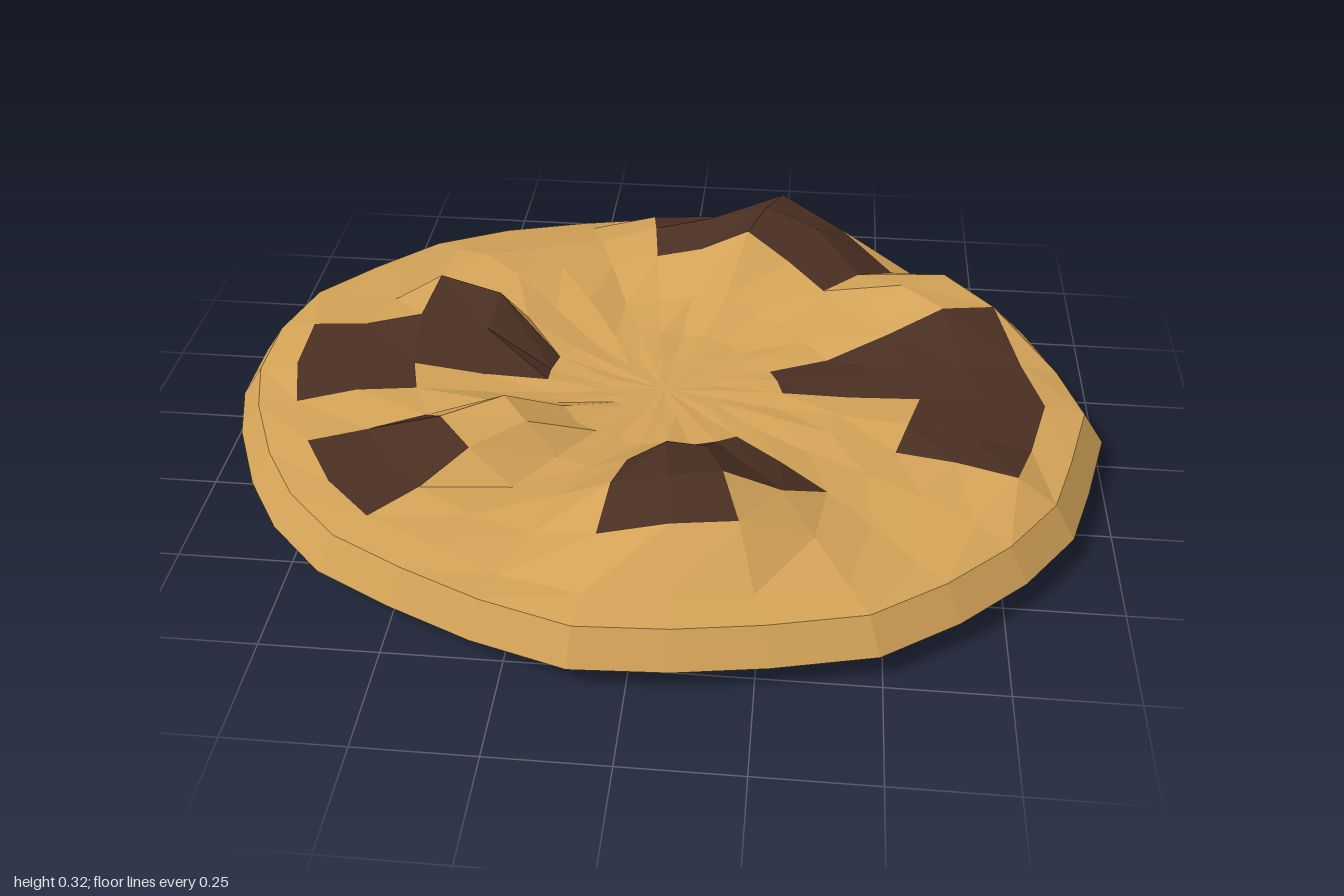
import * as THREE from 'three';

// Outline of the rim, clockwise from the back: [x, z]
const RIM = [
  [-0.11, -0.83], [0.08, -0.83], [0.28, -0.79], [0.46, -0.71], [0.61, -0.6], [0.75, -0.49],
  [0.88, -0.34], [0.95, -0.17], [1, 0], [0.95, 0.19], [0.9, 0.35], [0.79, 0.5],
  [0.65, 0.63], [0.49, 0.74], [0.28, 0.79], [0.09, 0.82], [-0.11, 0.83], [-0.31, 0.77],
  [-0.49, 0.69], [-0.66, 0.6], [-0.79, 0.47], [-0.88, 0.33], [-0.96, 0.15], [-1, 0],
  [-1, -0.18], [-0.95, -0.36], [-0.83, -0.5], [-0.69, -0.64], [-0.51, -0.73], [-0.3, -0.79],
];
const N = RIM.length;

// Rings from the top centre, over the rim, to the bottom centre: [share of radius, height]
const RINGS = [
  [0, 0.15], [0.13, 0.152], [0.27, 0.155], [0.42, 0.16], [0.58, 0.165], [0.72, 0.165], [0.86, 0.155],
  [0.95, 0.145], [1, 0.07], [0.9, 0.005], [0, 0],
];
const LAST_BUMPY = 6;

// Mounds: [spoke, share of radius, height, width in spokes, width in radius]
const MOUNDS = [
  [2.1, 0.71, 0.16, 1.3, 0.26],
  [1.9, 0.68, 0.075, 3, 0.26],
  [5.5, 0.78, 0.085, 1.4, 0.22],
  [10, 0.84, 0.03, 0.9, 0.15],
  [14.7, 0.56, 0.115, 1.9, 0.23],
  [19.8, 0.47, 0.085, 1.3, 0.19],
  [24.8, 0.5, 0.135, 1.2, 0.17],
  [24, 0.68, 0.03, 2, 0.2],
  [27.5, 0.62, 0.04, 2, 0.24],
];

// Chocolate patches: [first spoke, end spoke, first ring, end ring]
const CHIPS = [
  [0, 4, 4, 6],
  [6, 10, 4, 6], [6, 8, 2, 4],
  [14, 16, 3, 5], [12, 14, 2, 4],
  [19, 21, 4, 6],
  [22, 24, 4, 6], [23, 25, 2, 4],
];

function bumps(i, f) {
  let y = 0;
  for (const [spoke, radius, h, wide, deep] of MOUNDS) {
    let d = Math.abs(i - spoke);
    d = Math.min(d, N - d);
    const q = (d / wide) ** 2 + ((f - radius) / deep) ** 2;
    y = Math.max(y, h * Math.exp(-q * q));
  }
  return y + 0.006 * Math.sin(i * 2.4 + f * 9) * Math.min(1, f * 3);
}

function point(k, i) {
  i %= N;
  const [f, y] = RINGS[k];
  const lift = k > 0 && k <= LAST_BUMPY ? bumps(i, f) : 0;
  return [RIM[i][0] * f, y + lift, RIM[i][1] * f];
}

const isChip = (k, i) => CHIPS.some(([a, b, r, s]) => i >= a && i < b && k >= r && k < s);

function surface(name, color, corners) {
  const geometry = new THREE.BufferGeometry();
  geometry.setAttribute('position', new THREE.Float32BufferAttribute(corners, 3));
  geometry.computeVertexNormals();
  const mesh = new THREE.Mesh(geometry, new THREE.MeshStandardMaterial({ color, flatShading: true }));
  mesh.name = name;
  return mesh;
}

export function createModel() {
  const dough = [];
  const chips = [];
  for (let k = 0; k < RINGS.length - 1; k++) {
    for (let i = 0; i < N; i++) {
      const a = point(k, i), b = point(k, i + 1);
      const c = point(k + 1, i + 1), d = point(k + 1, i);
      const target = isChip(k, i) ? chips : dough;
      // One triangle per spoke at the two centres, two elsewhere
      if (RINGS[k][0] > 0) target.push(...a, ...b, ...c);
      if (RINGS[k + 1][0] > 0) target.push(...a, ...c, ...d);
    }
  }
  const group = new THREE.Group();
  group.name = 'cookie';
  group.add(surface('dough', 0xd2a257, dough), surface('chocolateChips', 0x4a2e22, chips));
  return group;
}
